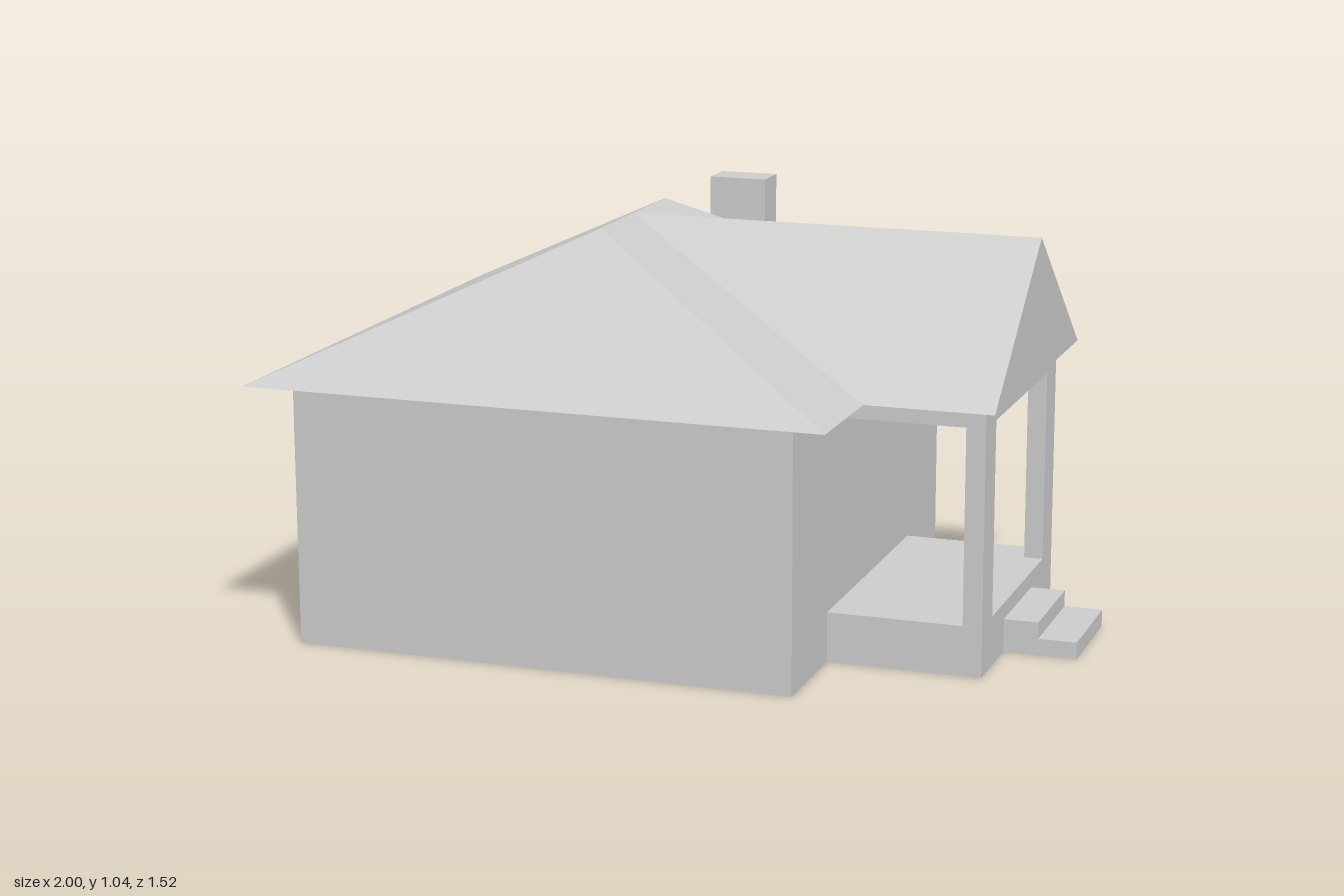
import * as THREE from 'three';

const material = new THREE.MeshStandardMaterial({ color: 0xcccccc, flatShading: true, side: THREE.DoubleSide });

// Flat polygons, corners counter-clockwise from outside, fan triangulated
function surface(name, polygons) {
  const pos = [];
  for (const p of polygons)
    for (let i = 1; i < p.length - 1; i++) pos.push(...p[0], ...p[i], ...p[i + 1]);
  const g = new THREE.BufferGeometry();
  g.setAttribute('position', new THREE.Float32BufferAttribute(pos, 3));
  g.computeVertexNormals();
  const mesh = new THREE.Mesh(g, material);
  mesh.name = name;
  return mesh;
}

// Shell with any of the faces: l (-x), r (+x), f (+z), b (-z), t (top)
function shell(name, [x0, x1], [y0, y1], [z0, z1], sides) {
  const faces = {
    l: [[x0, y0, z0], [x0, y0, z1], [x0, y1, z1], [x0, y1, z0]],
    r: [[x1, y0, z1], [x1, y0, z0], [x1, y1, z0], [x1, y1, z1]],
    f: [[x0, y0, z1], [x1, y0, z1], [x1, y1, z1], [x0, y1, z1]],
    b: [[x1, y0, z0], [x0, y0, z0], [x0, y1, z0], [x1, y1, z0]],
    t: [[x0, y1, z1], [x1, y1, z1], [x1, y1, z0], [x0, y1, z0]],
  };
  return surface(name, [...sides].map((s) => faces[s]));
}

function block(name, [x0, x1], [y0, y1], [z0, z1]) {
  const mesh = new THREE.Mesh(new THREE.BoxGeometry(x1 - x0, y1 - y0, z1 - z0), material);
  mesh.position.set((x0 + x1) / 2, (y0 + y1) / 2, (z0 + z1) / 2);
  mesh.name = name;
  return mesh;
}

export function createModel() {
  const house = new THREE.Group();
  house.name = 'house';
  const eave = 0.69, top = 1.045, floor = 0.13, lintel = 0.635;

  // Main walls, open below
  house.add(shell('walls', [-0.91, 0.41], [0, eave], [-0.66, 0.66], 'lrfb'));

  // Hipped roof joined by a gabled porch roof along two valleys
  const hipX = -0.24, hipZ = 0.24, ex = 0.52, ez = 0.76, gx = 0.85, gz = 0.445;
  const mirrored = (p) => p.map(([x, y, z]) => [x, y, -z]).reverse();
  const hipSide = [[-1, eave, ez], [ex, eave, ez], [hipX, top, hipZ]];
  const valleySide = [[ex, eave, ez], [ex, eave, gz], [hipX, top, 0], [hipX, top, hipZ]];
  const porchSide = [[ex, eave, gz], [gx, eave, gz], [gx, top, 0], [hipX, top, 0]];
  house.add(surface('mainRoof', [
    hipSide, mirrored(hipSide), valleySide, mirrored(valleySide),
    [[-1, eave, -ez], [-1, eave, ez], [hipX, top, hipZ], [hipX, top, -hipZ]],
  ]));
  house.add(surface('porchRoof', [
    porchSide, mirrored(porchSide),
    [[gx, eave, gz], [gx, eave, -gz], [gx, top, 0]],
  ]));

  // Flat soffit under the eaves and over the porch, open above the rooms
  const points = (list) => list.map(([x, z]) => new THREE.Vector2(x, z));
  const outline = new THREE.Shape(points([
    [-1, -ez], [ex, -ez], [ex, -gz], [gx, -gz], [gx, gz], [ex, gz], [ex, ez], [-1, ez]]));
  outline.holes.push(new THREE.Path(points([[-0.91, -0.66], [-0.91, 0.66], [0.41, 0.66], [0.41, -0.66]])));
  const soffit = new THREE.Mesh(new THREE.ShapeGeometry(outline).rotateX(Math.PI / 2), material);
  soffit.position.y = eave;
  soffit.name = 'soffit';
  house.add(soffit);

  // Porch: raised floor, posts, beams
  house.add(shell('porchFloor', [0.41, 0.81], [0, floor], [-0.37, 0.37], 'rfbt'));
  for (const [z0, z1] of [[-0.37, -0.27], [0.27, 0.37]]) {
    house.add(block('porchPost', [0.76, 0.81], [floor, eave], [z0, z1]));
    house.add(block('porchSideBeam', [0.41, 0.76], [lintel, eave], [z0, z1]));
  }
  house.add(block('porchFrontBeam', [0.76, 0.81], [lintel, eave], [-0.27, 0.27]));

  // Two entry steps, open below
  house.add(shell('upperStep', [0.81, 0.9], [0, 0.087], [-0.147, 0.147], 'rfbt'));
  house.add(shell('lowerStep', [0.9, 1], [0, 0.044], [-0.147, 0.147], 'rfbt'));

  // Chimney with a wide base sloping in to the stack
  const stack = new THREE.Shape(points([
    [-0.41, 0], [-0.08, 0], [-0.08, top], [-0.24, top], [-0.24, 0.75], [-0.41, 0.5]]));
  const chimney = new THREE.Mesh(
    new THREE.ExtrudeGeometry(stack, { depth: 0.1, bevelEnabled: false }), material);
  chimney.position.z = -0.71;
  chimney.name = 'chimney';
  house.add(chimney);

  return house;
}
